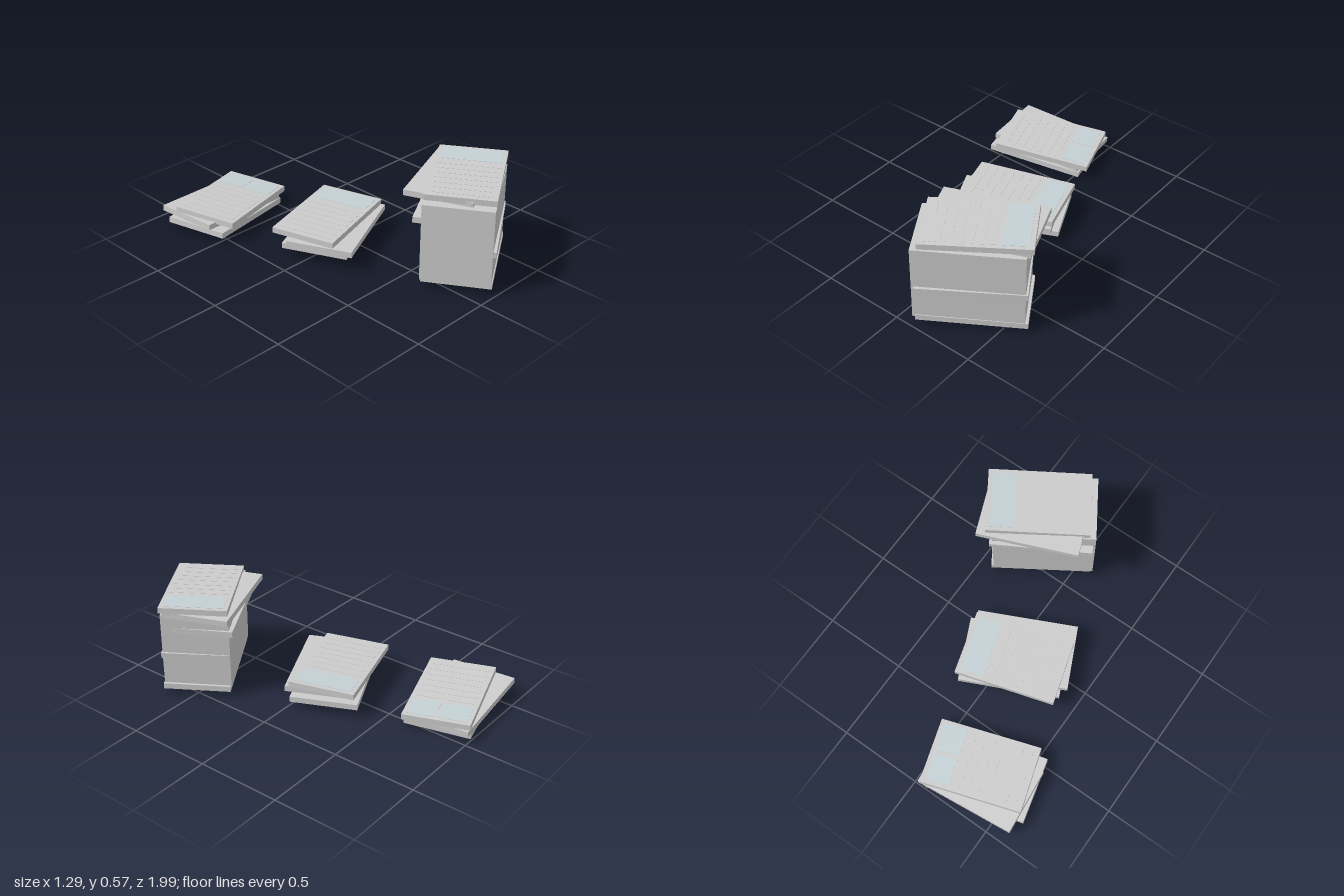
import * as THREE from 'three';

const LENGTH = 0.6, WIDTH = 0.39, THICK = 0.034;
const paper = new THREE.MeshStandardMaterial({ color: 0xcccccc });
const column = new THREE.MeshStandardMaterial({ color: 0xd6d8d8 });
const picture = new THREE.MeshStandardMaterial({ color: 0xc3d0d4 });

function box(name, w, h, d, material, x = 0, y = 0, z = 0) {
  const mesh = new THREE.Mesh(new THREE.BoxGeometry(w, h, d), material);
  mesh.name = name;
  mesh.position.set(x, y, z);
  return mesh;
}

// One folded newspaper, turned about y, with a slight slope along its length and width
function newspaper(name, [x, y, z, turn, slope = 0, dip = 0], height = THICK) {
  const group = new THREE.Group();
  group.name = name;
  group.add(box('foldedPaper', LENGTH, height, WIDTH, paper));
  group.position.set(x, y, z);
  group.rotation.set(dip, THREE.MathUtils.degToRad(turn), slope, 'YXZ');
  return group;
}

// Printed columns and picture blocks on the upper face
function addPrint(group, pictures) {
  const y = THICK / 2 + 0.0005;
  for (let i = 0; i < 7; i++) {
    group.add(box('textColumn', 0.028, 0.002, 0.34, column, -0.25 + i * 0.056, y, 0));
  }
  const depth = (0.34 - 0.02 * (pictures - 1)) / pictures;
  for (let i = 0; i < pictures; i++) {
    const z = (i - (pictures - 1) / 2) * (depth + 0.02);
    group.add(box('pictureBlock', 0.14, 0.002, depth, picture, 0.205, y, z));
  }
}

// x, y, z, turn in degrees, slope along length, dip along width; bottom to top
const stacks = {
  tallStack: {
    pictures: 1,
    sheets: [
      [0.265, 0.05, 0.652, 32.3, -0.012],
      [0.266, 0.25, 0.66, 33.3, -0.004],
      [0.241, 0.41, 0.62, 29.5],
      [0.27, 0.521, 0.566, 21.8, -0.008],
      [0.286, 0.548, 0.635, 32.6, 0.022],
    ],
  },
  middleStack: {
    pictures: 1,
    sheets: [
      [-0.045, 0.069, -0.078, 24.8, -0.004],
      [-0.063, 0.111, -0.025, 25.2],
      [-0.061, 0.144, -0.1, 16.5],
    ],
  },
  rearStack: {
    pictures: 2,
    sheets: [
      [-0.311, 0.037, -0.73, 14, -0.062],
      [-0.303, 0.072, -0.775, 5.6, -0.055],
      [-0.268, 0.098, -0.724, 17.5, -0.05, 0.038],
    ],
  },
};

export function createModel() {
  const model = new THREE.Group();
  model.name = 'newspaperStacks';
  for (const [name, { pictures, sheets }] of Object.entries(stacks)) {
    const stack = new THREE.Group();
    stack.name = name;
    sheets.forEach((sheet, i) => {
      const paperGroup = newspaper('newspaper', sheet);
      if (i === sheets.length - 1) addPrint(paperGroup, pictures);
      stack.add(paperGroup);
    });
    // Tightly packed bundle between the loose papers
    if (name === 'tallStack') {
      stack.add(newspaper('packedBundle', [0.252, 0.281, 0.655, 32.2, -0.012], 0.455));
    }
    model.add(stack);
  }
  return model;
}
